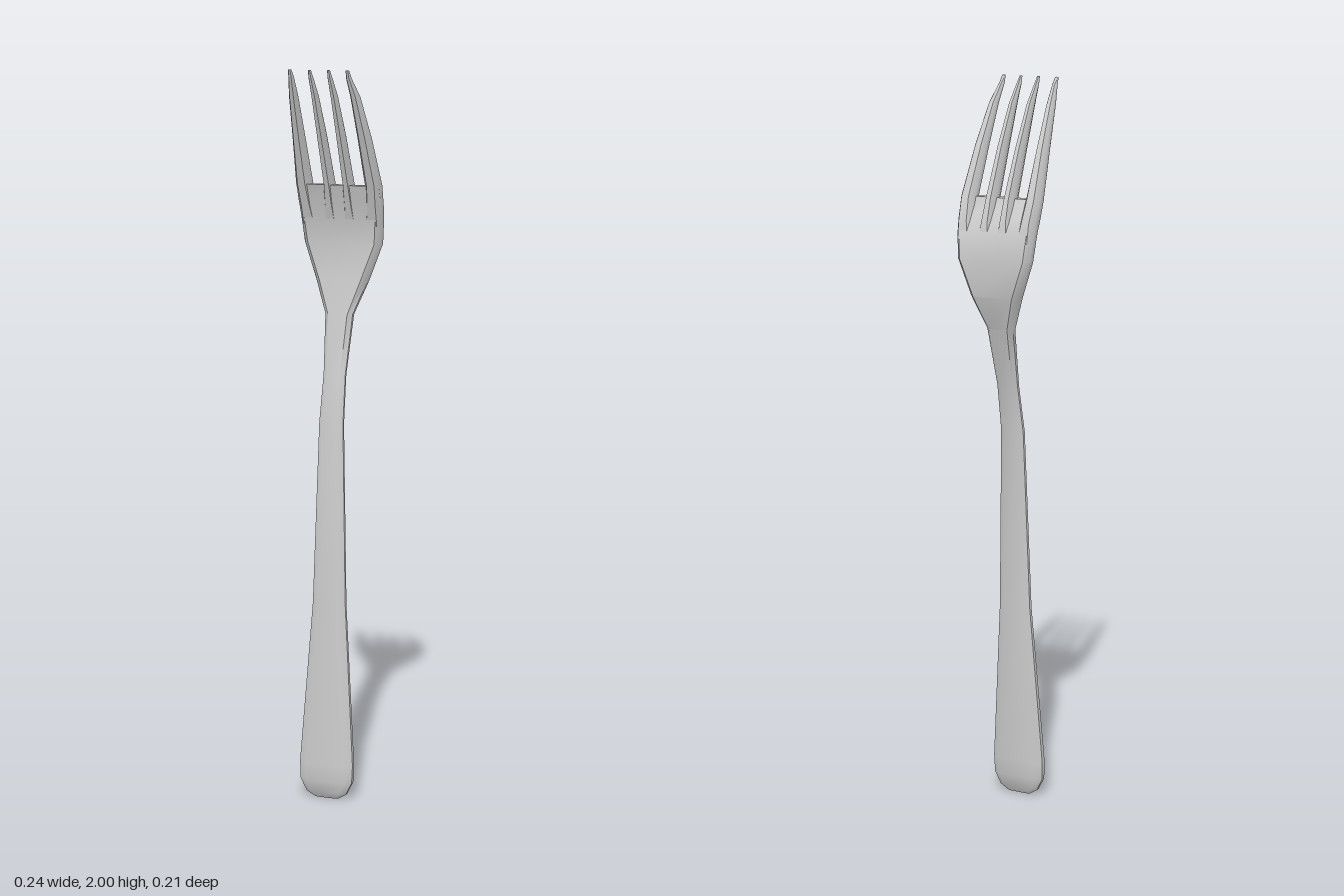
import * as THREE from 'three';
import { toCreasedNormals } from 'three/addons/utils/BufferGeometryUtils.js';

const metal = new THREE.MeshStandardMaterial({ color: 0xcccccc });

// Loft of chamfered eight-sided sections: [y, xMin, xMax, zFront, zBack, flat share of the width]
function loft(name, sections) {
  const pos = [], idx = [], n = 8;
  for (const [y, x0, x1, zf, zb, flat] of sections) {
    const cx = (x0 + x1) / 2, w = (x1 - x0) / 2, cz = (zf + zb) / 2, t = (zf - zb) / 2;
    const ring = [[1, 0.35], [1, -0.35], [flat, -1], [-flat, -1], [-1, -0.35], [-1, 0.35], [-flat, 1], [flat, 1]];
    for (const [u, v] of ring) pos.push(cx + u * w, y, cz + v * t);
  }
  for (let i = 0; i < sections.length - 1; i++) {
    for (let j = 0; j < n; j++) {
      const a = i * n + j, b = i * n + (j + 1) % n;
      idx.push(a, b, b + n, a, b + n, a + n);
    }
  }
  const top = (sections.length - 1) * n;
  for (let j = 1; j < n - 1; j++) idx.push(0, j + 1, j, top, top + j, top + j + 1);
  const geo = new THREE.BufferGeometry();
  geo.setAttribute('position', new THREE.Float32BufferAttribute(pos, 3));
  geo.setIndex(idx);
  const mesh = new THREE.Mesh(toCreasedNormals(geo, 0.75), metal);
  mesh.name = name;
  return mesh;
}

export function createModel() {
  const group = new THREE.Group();
  group.name = 'fork';

  // Handle, neck and head: [y, half width, zFront, zBack, flat]
  const body = [
    [0, 0.035, 0.062, 0.05, 0.7],
    [0.015, 0.058, 0.07, 0.043, 0.72],
    [0.05, 0.075, 0.076, 0.036, 0.72],
    [0.1, 0.077, 0.075, 0.034, 0.7],
    [0.55, 0.047, 0.048, 0.018, 0.68],
    [1.05, 0.034, 0.03, 0.004, 0.62],
    [1.18, 0.031, 0.003, -0.022, 0.62],
    [1.34, 0.039, -0.029, -0.066, 0.7],
    [1.43, 0.073, -0.046, -0.098, 0.8],
    [1.53, 0.109, -0.055, -0.105, 0.87],
    [1.6, 0.115, -0.044, -0.096, 0.88],
    [1.645, 0.117, -0.032, -0.072, 0.9],
    [1.69, 0.117, -0.019, -0.046, 0.92],
  ];
  group.add(loft('handleAndHead', body.map(([y, w, zf, zb, f]) => [y, -w, w, zf, zb, f])));

  // Tines, rising out of the head as ridges: x ranges at root, base, middle and tip
  const tines = [
    [[-0.114, -0.065], [-0.119, -0.077], [-0.109, -0.079], [-0.092, -0.079]],
    [[-0.05, -0.006], [-0.04, -0.013], [-0.039, -0.017], [-0.036, -0.025]],
    [[0.006, 0.05], [0.014, 0.041], [0.015, 0.037], [0.017, 0.028]],
    [[0.065, 0.114], [0.077, 0.119], [0.074, 0.108], [0.068, 0.081]],
  ];
  tines.forEach(([root, base, mid, tip], i) => {
    const near = mid.map((x, k) => (x + tip[k]) / 2);
    group.add(loft('tine' + (i + 1), [
      [1.58, ...root, -0.05, -0.098, 0.6],
      [1.63, ...root.map((x, k) => (x + base[k]) / 2), -0.034, -0.09, 0.5],
      [1.69, ...base, -0.014, -0.069, 0.5],
      [1.82, ...mid, 0.036, -0.011, 0.5],
      [1.93, ...near, 0.079, 0.046, 0.5],
      [1.98, ...tip, 0.1, 0.082, 0.5],
      [2, ...tip.map((x, k) => x + (k ? -0.002 : 0.002)), 0.106, 0.098, 0.5],
    ]));
  });
  return group;
}
